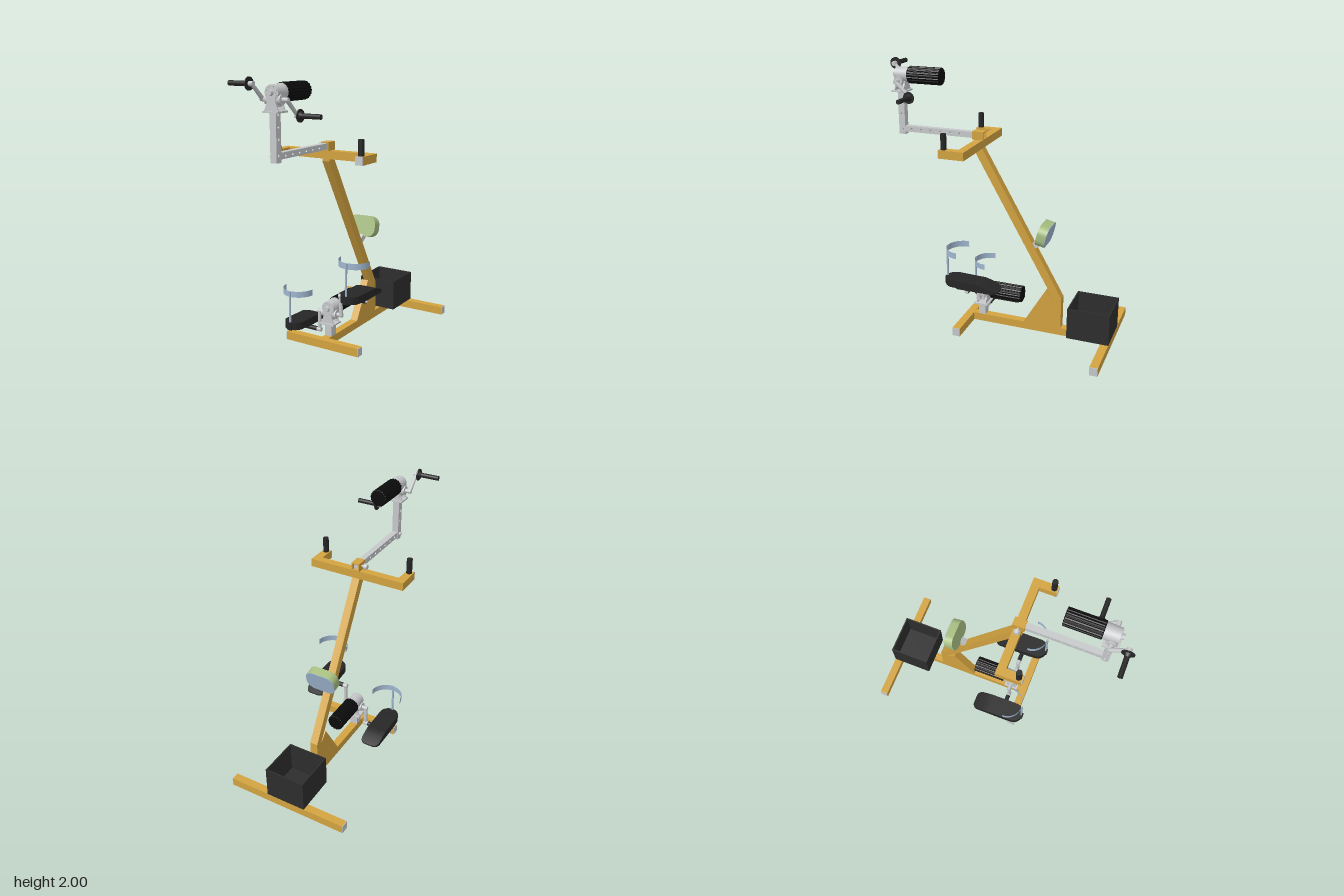
import * as THREE from 'three';
import { toCreasedNormals } from 'three/addons/utils/BufferGeometryUtils.js';

const mat = (name, color, side = THREE.FrontSide) => {
  const m = new THREE.MeshStandardMaterial({ color, side });
  m.name = name;
  return m;
};
const V = (x, y, z) => new THREE.Vector3(x, y, z);

export function createModel() {
  const gold = mat('goldFrame', 0xd2a340);
  const steel = mat('lightSteel', 0xc6c8ca);
  const blue = mat('blueSteel', 0xa0b7d0, THREE.DoubleSide);
  const green = mat('greenPad', 0xa6bd80);
  const dark = mat('darkBox', 0x2d2d2d);
  const rubber = mat('darkRubber', 0x262627);
  const black = mat('blackMotor', 0x0c0c0c);

  const root = new THREE.Group();
  root.name = 'exerciseMachine';
  const add = (parent, name, geo, material) => {
    const m = new THREE.Mesh(geo, material);
    m.name = name;
    parent.add(m);
    return m;
  };
  // Box given by its minimum and maximum on each axis
  const box = (parent, name, material, x0, x1, y0, y1, z0, z1) => {
    const g = new THREE.BoxGeometry(x1 - x0, y1 - y0, z1 - z0);
    return add(parent, name, g.translate((x0 + x1) / 2, (y0 + y1) / 2, (z0 + z1) / 2), material);
  };
  // Round bar between two points
  const rod = (parent, name, material, a, b, r, r2 = r, sides = 20) => {
    const d = b.clone().sub(a);
    const m = add(parent, name, new THREE.CylinderGeometry(r2, r, d.length(), sides), material);
    m.position.copy(a).addScaledVector(d, 0.5);
    m.quaternion.setFromUnitVectors(V(0, 1, 0), d.normalize());
    return m;
  };
  // Side profile of [z, y] points extruded across x, with optional round holes
  const profile = (parent, name, material, pts, width, holes = [], r = 0.009) => {
    const s = new THREE.Shape(pts.map(p => new THREE.Vector2(p[0], p[1])));
    for (const [z, y] of holes) s.holes.push(new THREE.Path().absarc(z, y, r, 0, Math.PI * 2, true));
    const g = new THREE.ExtrudeGeometry(s, { depth: width, bevelEnabled: false, curveSegments: 8 });
    return add(parent, name, g.translate(0, 0, -width / 2).rotateY(-Math.PI / 2), material);
  };

  // Base frame with capped cross bars
  box(root, 'baseBeam', gold, -0.03, 0.03, 0.002, 0.062, -0.85, 0.19);
  const crossBar = (name, half, z0, z1) => {
    box(root, name, gold, -half, half, 0, 0.063, z0, z1);
    for (const s of [-1, 1]) {
      const x = s * (half + 0.002);
      box(root, name + 'Cap', steel, x - 0.002, x + 0.002, 0, 0.063, z0, z1);
    }
  };
  crossBar('frontCrossBar', 0.313, 0.19, 0.25);
  crossBar('rearCrossBar', 0.471, -0.91, -0.85);

  // Bent column and its brace
  profile(root, 'column', gold, [[0.175, 1.405], [0.175, 1.388], [-0.455, 0.29], [-0.455, 0.06],
    [-0.515, 0.06], [-0.515, 0.307], [0.112, 1.405]], 0.06);
  profile(root, 'columnBrace', gold, [[-0.22, 0.06], [-0.39, 0.352], [-0.455, 0.285], [-0.455, 0.06]], 0.06);

  // Open storage box
  box(root, 'boxFloor', dark, -0.155, 0.155, 0.063, 0.073, -0.91, -0.595);
  for (const s of [-1, 1]) {
    box(root, 'boxSide', dark, s * 0.15 - 0.005, s * 0.15 + 0.005, 0.073, 0.302, -0.91, -0.595);
    const z = -0.7525 + s * 0.1525;
    box(root, 'boxEnd', dark, -0.145, 0.145, 0.073, 0.302, z - 0.005, z + 0.005);
  }

  // Handlebar with upright grips
  box(root, 'handlebar', gold, -0.375, 0.375, 1.405, 1.465, 0.11, 0.17);
  for (const s of [-1, 1]) {
    const x = s * 0.345;
    box(root, 'handlebarArm', gold, x - 0.03, x + 0.03, 1.405, 1.465, 0.17, 0.298);
    box(root, 'handlebarCap', steel, x - 0.03, x + 0.03, 1.405, 1.465, 0.298, 0.302);
    rod(root, 'uprightGrip', rubber, V(x, 1.465, 0.27), V(x, 1.577, 0.27), 0.021);
  }

  // Hollow sleeve holding the sliding arm
  for (const s of [-1, 1]) {
    box(root, 'sleeveSide', gold, s * 0.027 - 0.004, s * 0.027 + 0.004, 1.465, 1.527, 0.1, 0.19);
    box(root, 'sleeveWall', gold, -0.023, 0.023, 1.496 + s * 0.027 - 0.004, 1.496 + s * 0.027 + 0.004, 0.1, 0.19);
  }
  rod(root, 'sleeveKnobStem', steel, V(-0.03, 1.497, 0.145), V(-0.055, 1.497, 0.145), 0.008);
  rod(root, 'sleeveKnob', steel, V(-0.05, 1.497, 0.145), V(-0.075, 1.497, 0.145), 0.024, 0.018);

  // Drilled sliding arm and mast
  const armHoles = [], mastHoles = [];
  for (let i = 0; i < 6; i++) armHoles.push([0.68 - i * 0.078, 1.497]);
  for (let i = 0; i < 3; i++) mastHoles.push([0.757, 1.61 + i * 0.078 - 0.002]);
  profile(root, 'slidingArm', steel, [[0.12, 1.475], [0.735, 1.475], [0.735, 1.519], [0.12, 1.519]], 0.044, armHoles);
  profile(root, 'mast', steel, [[0.732, 1.455], [0.782, 1.455], [0.782, 1.78], [0.732, 1.78]], 0.05, mastHoles);
  rod(root, 'mastBolt', steel, V(-0.04, 1.497, 0.757), V(0.034, 1.497, 0.757), 0.012);

  // Padded rest, with its bracket
  const rest = new THREE.Group();
  rest.name = 'paddedRest';
  rest.position.set(0, 0.803, -0.37);
  rest.rotation.x = -0.24;
  root.add(rest);
  const w = 0.117, h = 0.081, r = 0.065;
  const padShape = new THREE.Shape();
  padShape.absarc(w - r, h - r, r, 0, Math.PI / 2);
  padShape.absarc(r - w, h - r, r, Math.PI / 2, Math.PI);
  padShape.absarc(r - w, r - h, r, Math.PI, Math.PI * 1.5);
  padShape.absarc(w - r, r - h, r, Math.PI * 1.5, Math.PI * 2);
  const padLayer = (name, material, z, depth) => {
    const g = new THREE.ExtrudeGeometry(padShape, { depth, bevelEnabled: false, curveSegments: 10 });
    add(rest, name, toCreasedNormals(g.translate(0, 0, z), 0.7), material);
  };
  padLayer('restCushion', green, -0.032, 0.067);
  padLayer('restBackPlate', blue, -0.036, 0.004);
  profile(root, 'restBracket', steel, [[-0.275, 0.715], [-0.33, 0.755], [-0.37, 0.725], [-0.3, 0.68]], 0.05);

  // Drive unit: gearbox, finned motor and cranks, origin at the crank axle
  const driveUnit = (name, y, z, cranks) => {
    const g = new THREE.Group();
    g.name = name;
    g.position.set(0, y, z);
    root.add(g);
    box(g, 'mountPlate', steel, -0.06, 0.06, -0.082, -0.07, -0.055, 0.055);
    for (const s of [-1, 1]) {
      const web = new THREE.Shape([[-0.055, -0.07], [0.055, -0.07], [0.035, -0.02], [-0.035, -0.02]]
        .map(p => new THREE.Vector2(...p)));
      add(g, 'mountWeb', new THREE.ExtrudeGeometry(web, { depth: 0.01, bevelEnabled: false })
        .translate(0, 0, s * 0.035 - 0.005), steel);
    }
    box(g, 'gearCase', steel, -0.035, 0.035, -0.045, 0.045, -0.045, 0.04);
    rod(g, 'axleHousing', steel, V(-0.062, 0, 0), V(0.062, 0, 0), 0.034);
    rod(g, 'gearHousing', steel, V(0, 0.043, -0.068), V(0, 0.043, 0.035), 0.057, 0.052, 28);
    rod(g, 'shaftBoss', steel, V(0, 0.043, 0.03), V(0, 0.043, 0.06), 0.022, 0.018);
    for (let i = 0; i < 8; i++) {
      const a = (i + 0.5) * Math.PI / 4, bx = Math.cos(a) * 0.042, by = 0.043 + Math.sin(a) * 0.042;
      rod(g, 'housingBolt', steel, V(bx, by, 0.033), V(bx, by, 0.042), 0.006, 0.006, 6);
    }
    const fins = [];
    for (let i = 0; i < 72; i++) {
      const a = i * Math.PI / 36, fr = i % 4 < 2 ? 0.058 : 0.054;
      fins.push(new THREE.Vector2(Math.cos(a) * fr, Math.sin(a) * fr));
    }
    const motor = new THREE.ExtrudeGeometry(new THREE.Shape(fins),
      { depth: 0.247, bevelSize: 0.005, bevelThickness: 0.005, bevelSegments: 2 });
    add(g, 'motor', motor.translate(0, 0.043, -0.32), black);
    for (const [s, dy, dz] of cranks) {
      const hub = V(s * 0.095, 0, 0), end = V(s * 0.095, dy, dz);
      rod(g, 'crankAxle', steel, V(s * 0.06, 0, 0), V(s * 0.108, 0, 0), 0.015);
      rod(g, 'crankArm', steel, hub, end, 0.015, 0.012);
      rod(g, 'crankEnd', steel, V(s * 0.08, dy, dz), V(s * 0.115, dy, dz), 0.017);
    }
    return g;
  };

  // Hand drive with flanged grips
  const handCranks = [[1, -0.105, -0.111], [-1, 0.1, 0.108]];
  const handDrive = driveUnit('handDrive', 1.857, 0.757, handCranks);
  for (const [s, y, z] of handCranks) {
    rod(handDrive, 'gripFlange', rubber, V(s * 0.112, y, z), V(s * 0.12, y, z), 0.043, 0.043, 28);
    rod(handDrive, 'gripCollar', rubber, V(s * 0.12, y, z), V(s * 0.14, y, z), 0.028, 0.017);
    rod(handDrive, 'handGrip', rubber, V(s * 0.12, y, z), V(s * 0.275, y, z), 0.017);
  }

  // Foot drive on its post
  box(root, 'drivePost', steel, -0.03, 0.03, 0.062, 0.155, 0.092, 0.15);
  const footCranks = [[1, 0.152, 0.005], [-1, -0.15, 0]];
  const footDrive = driveUnit('footDrive', 0.235, 0.122, footCranks);

  // Foot plate: round heel, rounded toe, upper face sloping down to the toe
  const footGeometry = () => {
    const g = new THREE.BoxGeometry(2, 1, 1, 1, 1, 40).toNonIndexed();
    const p = g.attributes.position;
    for (let i = 0; i < p.count; i++) {
      const t = 0.5 - p.getZ(i);
      const u = (1 - Math.cos(Math.PI * t)) / 2;
      const z = 0.3 - 0.42 * u;
      const heel = Math.max(0, z - 0.225) / 0.076, toe = Math.max(0, -0.075 - z) / 0.045;
      let half = 0.076 * Math.sqrt(Math.max(0.02, 1 - heel * heel));
      half -= 0.045 * (1 - Math.sqrt(Math.max(0, 1 - toe * toe)));
      const slope = Math.max(0, 0.02 - z) / 0.14;
      const top = 0.066 - 0.012 * u - 0.045 * slope ** 1.3;
      const bottom = z > 0.19 ? 0.008 : 0;
      p.setXYZ(i, p.getX(i) * half, p.getY(i) > 0 ? top : bottom, z);
    }
    return toCreasedNormals(g, 0.6);
  };
  for (const [s, dy, dz] of footCranks) {
    rod(footDrive, 'pedalGrip', rubber, V(s * 0.115, dy, dz), V(s * 0.31, dy, dz), 0.017);
    rod(footDrive, 'pedalCap', steel, V(s * 0.31, dy, dz), V(s * 0.322, dy, dz), 0.012);
    const foot = new THREE.Group();
    foot.name = s > 0 ? 'leftFootrest' : 'rightFootrest';
    foot.position.set(s * 0.25, 0.235 + dy + 0.014, s > 0 ? 0.013 : -0.003);
    root.add(foot);
    add(foot, 'footPlate', footGeometry(), rubber);
    box(foot, 'postSocket', rubber, -0.018, 0.018, 0.005, 0.06, 0.275, 0.306);
    rod(foot, 'calfPost', blue, V(0, 0.03, 0.292), V(0, 0.305, 0.292), 0.008, 0.008, 12);
    const cuff = new THREE.CylinderGeometry(0.12, 0.12, 0.046, 32, 1, true, -Math.PI / 2, Math.PI);
    add(foot, 'calfCuff', cuff.translate(0, 0.286, 0.168), blue);
  }
  return root;
}
